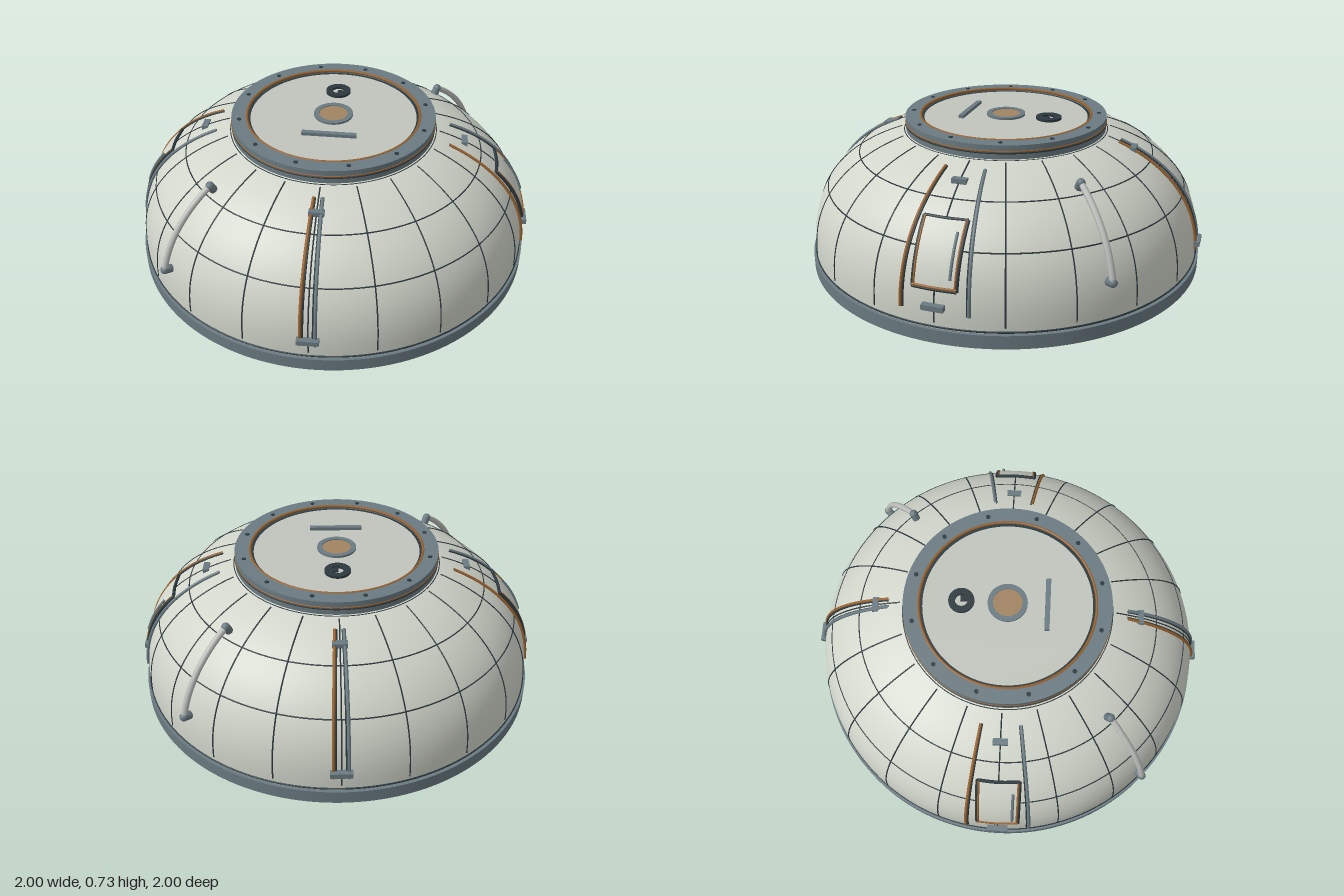
import * as THREE from 'three';
import { toCreasedNormals } from 'three/addons/utils/BufferGeometryUtils.js';
import { ParametricGeometry } from 'three/addons/geometries/ParametricGeometry.js';

const mat = (name, color, side = THREE.FrontSide) => {
  const m = new THREE.MeshStandardMaterial({ color, side });
  m.name = name;
  return m;
};
const M = {
  hull: mat('hullWhite', 0xd0d4c9, THREE.DoubleSide),
  hatch: mat('hatchGrey', 0xc0c5bc),
  steel: mat('steelBlue', 0x6b7b82),
  dark: mat('seamDark', 0x2c393e, THREE.DoubleSide),
  accent: mat('copper', 0x98622e),
  glass: mat('amberGlass', 0xa08460),
  rail: mat('railGrey', 0xbcbeba),
  black: mat('padBlack', 0x1d2327),
};

// Dome section: a squashed superellipse, t = 0 at the base
const A = 0.975, B = 0.64, Y0 = 0.08, E = 2 / 2.4;
const rOf = t => A * Math.cos(t) ** E;
const yOf = t => Y0 + B * Math.sin(t) ** E;
const tOfY = y => Math.asin(((y - Y0) / B) ** (1 / E));
const tOfR = r => Math.acos((r / A) ** (1 / E));

// Point on the dome facing +z, at sideways distance x and height off the skin
function skin(x, t, off = 0) {
  const e = 0.002, t0 = Math.max(t - e, 0.0001);
  const dr = rOf(t + e) - rOf(t0), dy = yOf(t + e) - yOf(t0), l = Math.hypot(dr, dy);
  const r = rOf(t) + off * dy / l;
  return new THREE.Vector3(x, yOf(t) - off * dr / l, Math.sqrt(r * r - x * x));
}

function add(parent, name, geo, material, x = 0, y = 0, z = 0) {
  const m = new THREE.Mesh(geo, material);
  m.name = name;
  m.position.set(x, y, z);
  parent.add(m);
  return m;
}

function annulus(rOut, rIn, y0, y1) {
  const s = new THREE.Shape().absarc(0, 0, rOut, 0, Math.PI * 2);
  if (rIn) s.holes.push(new THREE.Path().absarc(0, 0, rIn, 0, Math.PI * 2, true));
  const g = new THREE.ExtrudeGeometry(s, { depth: y1 - y0, bevelEnabled: false, curveSegments: 96 });
  g.rotateX(-Math.PI / 2).translate(0, y0, 0);
  return toCreasedNormals(g, 0.6);
}

const loop = (R, r, y) => new THREE.TorusGeometry(R, r, 6, 128).rotateX(Math.PI / 2).translate(0, y, 0);

function tube(pts, r, sides = 8) {
  return new THREE.TubeGeometry(new THREE.CatmullRomCurve3(pts), pts.length * 3, r, sides);
}

// Line up the dome at a constant bearing
function meridian(angle, t0, t1, off, n = 12) {
  return Array.from({ length: n + 1 }, (_, i) => {
    const t = t0 + (t1 - t0) * i / n;
    return skin(rOf(t) * Math.sin(angle), t, off);
  });
}

// Horizontal block resting on the dome
function clamp(parent, y, width) {
  const p = skin(0, tOfY(y), 0.012);
  add(parent, 'clampBar', new THREE.BoxGeometry(width, 0.025, 0.03), M.steel, p.x, y, Math.min(p.z, 0.985));
}

function railPair(parent, angle) {
  const t0 = tOfY(0.14), t1 = tOfR(0.575);
  add(parent, 'copperRail', tube(meridian(-angle - 0.004, t0, t1, 0.006), 0.007), M.accent);
  add(parent, 'railShadowStrip', tube(meridian(-angle + 0.007, t0, t1, 0.003), 0.005), M.dark);
  add(parent, 'steelRail', tube(meridian(angle, t0, t1, 0.006), 0.008), M.steel);
  add(parent, 'railShadowStrip', tube(meridian(angle - 0.011, t0, t1, 0.003), 0.004), M.dark);
  clamp(parent, 0.17, 0.1);
  clamp(parent, 0.61, 0.07);
}

function accessPanel(parent) {
  const w = 0.1, ta = tOfY(0.245), tb = tOfY(0.5);
  const plate = new ParametricGeometry((u, v, out) =>
    out.copy(skin(w * (2 * u - 1), ta + (tb - ta) * v, 0.012)), 6, 10);
  add(parent, 'accessPanel', plate, M.hull);
  const column = (x, off) => Array.from({ length: 7 }, (_, i) => skin(x, ta + (tb - ta) * i / 6, off));
  const row = (t, off) => [-1, 0, 1].map(k => skin(k * w, t, off));
  // Dark outer frame with a copper seal inside it
  for (const [x, k] of [[-w, 1], [w, -1]]) {
    add(parent, 'panelFrame', tube(column(x, 0.008), 0.008), M.dark);
    add(parent, 'panelSeal', tube(column(x + k * 0.007, 0.012), 0.005), M.accent);
  }
  for (const t of [ta, tb]) add(parent, 'panelFrame', tube(row(t, 0.008), 0.008), M.dark);
  add(parent, 'panelSeal', tube(row(ta + 0.012, 0.013), 0.006), M.accent);
  const grip = [0.29, 0.34, 0.38, 0.42, 0.46].map(y => skin(0.07, tOfY(y), 0.016));
  add(parent, 'panelHandle', tube(grip, 0.007), M.steel);
}

// Grab rail with a foot block at each end
function grabRail(parent, name, pts, feet) {
  const g = new THREE.Group();
  g.name = name;
  add(g, 'railTube', tube(pts, 0.015, 10), M.rail);
  feet.forEach((f, i) => {
    const p = pts[i ? pts.length - 1 : 0];
    add(g, 'railFoot', tube([p, p.clone().lerp(f, 0.5), f], 0.02, 8), M.steel);
    add(g, 'railEnd', new THREE.SphereGeometry(0.021, 10, 8), M.steel, p.x, p.y, p.z);
  });
  parent.add(g);
}

// Round hatch fittings; dir is +1 facing up, -1 facing down
function hatchFittings(parent, y, dir, barX, barZ, barTurn) {
  const span = (a, b) => (dir > 0 ? [y + a, y + b] : [y - b, y - a]);
  add(parent, 'windowRim', annulus(0.095, 0.07, ...span(0, 0.01)), M.steel);
  add(parent, 'windowGlass', annulus(0.07, 0, ...span(0, 0.006)), M.glass);
  const wheel = annulus(0.062, 0.03, ...span(0, 0.012));
  add(parent, 'latchWheel', wheel, M.dark, 0, 0, -0.22);
  add(parent, 'latchSpoke', new THREE.BoxGeometry(0.03, 0.008, 0.05), M.dark, 0.012, y + dir * 0.004, -0.2);
  const bar = add(parent, 'hatchBar', new THREE.BoxGeometry(0.26, 0.016, 0.024), M.steel, barX, y + dir * 0.008, barZ);
  bar.rotation.y = barTurn;
}

function bolts(parent, count, R, y, r) {
  for (let i = 0; i < count; i++) {
    const a = (i + 0.5) / count * Math.PI * 2;
    add(parent, 'bolt', new THREE.CylinderGeometry(r, r, 0.008, 8), M.dark, R * Math.sin(a), y, R * Math.cos(a));
  }
}

export function createModel() {
  const root = new THREE.Group();
  root.name = 'domeModule';

  // Dome shell
  const tTop = tOfR(0.48);
  const profile = Array.from({ length: 41 }, (_, i) => new THREE.Vector2(rOf(tTop * i / 40), yOf(tTop * i / 40)));
  profile.unshift(new THREE.Vector2(A, 0.06));
  add(root, 'domeShell', new THREE.LatheGeometry(profile, 128), M.hull);

  // Skin seams
  const seams = new THREE.Group();
  seams.name = 'skinSeams';
  for (let i = 0; i < 20; i++) {
    const s = add(seams, 'meridianSeam', tube(meridian(0, 0.01, tOfR(0.52), 0.0005), 0.0035, 5), M.dark);
    s.rotation.y = i * Math.PI / 10;
  }
  for (const t of [tOfY(0.4), tOfR(0.73)]) add(seams, 'ringSeam', loop(rOf(t), 0.0032, yOf(t)), M.dark);
  add(seams, 'baseSeam', loop(A, 0.005, 0.073), M.dark);
  root.add(seams);

  // Base ring
  add(root, 'baseRing', annulus(0.99, 0.955, 0, 0.065), M.steel);
  add(root, 'baseRingLiner', new THREE.CylinderGeometry(0.954, 0.954, 0.064, 96, 1, true), M.hull, 0, 0.033, 0);
  bolts(root, 36, 0.972, 0.004, 0.008);

  // Four rail sets, with access panels on the two flanks
  for (let i = 0; i < 4; i++) {
    const set = new THREE.Group();
    set.name = i % 2 ? 'flankRails' : 'endRails';
    railPair(set, i % 2 ? 0.16 : 0.033);
    if (i % 2) accessPanel(set);
    set.rotation.y = i * Math.PI / 2;
    root.add(set);
  }

  // Curved grab rails on opposite diagonals
  for (const turn of [-Math.PI / 4, Math.PI * 3 / 4]) {
    const g = new THREE.Group();
    g.name = 'outerGrabRail';
    const t0 = tOfY(0.25), t1 = tOfY(0.58);
    grabRail(g, 'grabRail', meridian(0, t0, t1, 0.035), [skin(0, t0), skin(0, t1)]);
    g.rotation.y = turn;
    root.add(g);
  }

  // Top docking collar and hatch
  add(root, 'collarFoot', annulus(0.507, 0.44, 0.645, 0.662), M.dark);
  add(root, 'collar', annulus(0.497, 0.42, 0.655, 0.73), M.steel);
  add(root, 'collarBand', loop(0.496, 0.004, 0.7), M.accent);
  add(root, 'collarGroove', loop(0.496, 0.004, 0.692), M.dark);
  add(root, 'collarSeal', loop(0.422, 0.007, 0.727), M.accent);
  add(root, 'hatchGap', annulus(0.42, 0.4, 0.68, 0.715), M.dark);
  add(root, 'topHatch', annulus(0.405, 0, 0.68, 0.716), M.hatch);
  bolts(root, 12, 0.46, 0.729, 0.011);
  hatchFittings(root, 0.716, 1, 0, 0.19, 0);

  // Floor and lower hatch
  add(root, 'floor', annulus(0.88, 0.45, 0.04, 0.06), M.accent);
  add(root, 'floorEdge', annulus(0.89, 0.875, 0.037, 0.06), M.dark);
  add(root, 'lowerCollar', annulus(0.495, 0.4, 0.02, 0.06), M.dark);
  add(root, 'lowerCollarRim', annulus(0.505, 0.49, 0.017, 0.06), M.steel);
  add(root, 'lowerHatch', annulus(0.402, 0, 0.026, 0.06), M.hatch);
  bolts(root, 4, 0.45, 0.019, 0.014);
  hatchFittings(root, 0.026, -1, -0.25, 0, Math.PI / 2);

  // Floor pads, grab rails and grip
  const arc = (R, y, a0, a1) => Array.from({ length: 9 }, (_, i) => {
    const a = a0 + (a1 - a0) * i / 8;
    return new THREE.Vector3(R * Math.cos(a), y, R * Math.sin(a));
  });
  for (let i = 0; i < 4; i++) {
    const a = -0.21 + i * Math.PI / 2;
    const pad = add(root, 'floorPad', new THREE.BoxGeometry(0.12, 0.009, 0.1), M.black,
      0.73 * Math.cos(a), 0.037, 0.73 * Math.sin(a));
    pad.rotation.y = -a;
  }
  for (const a of [0.08, 0.08 + Math.PI]) {
    const pts = arc(0.65, 0.02, a - 0.5, a + 0.5);
    grabRail(root, 'floorGrabRail', pts, [pts[0], pts[8]].map(p => p.clone().setY(0.045)));
  }
  add(root, 'floorGrip', tube(arc(0.55, 0.03, 0.66, 1.36), 0.011), M.dark);

  return root;
}
